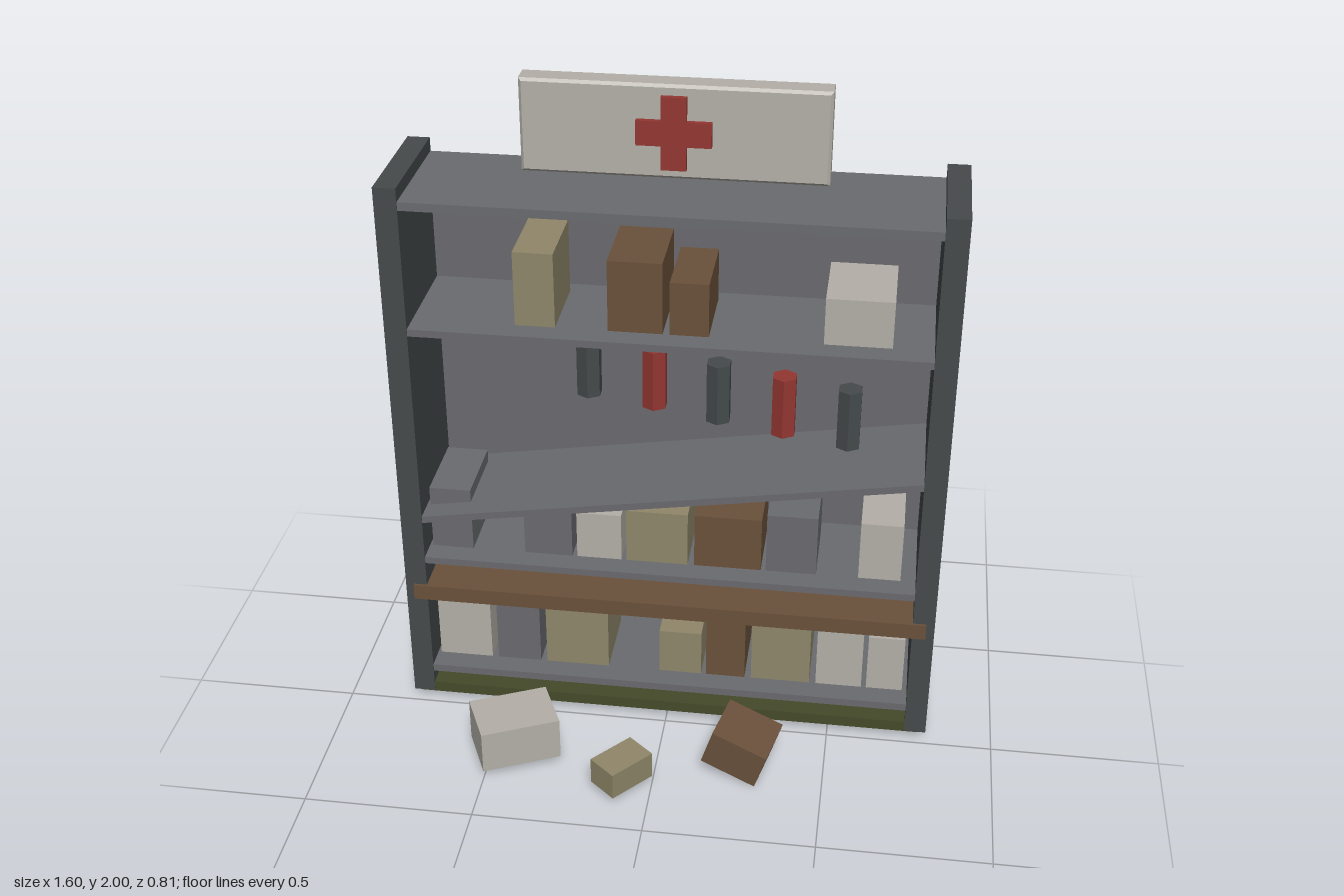
import * as THREE from 'three';

const mat = (name, color) => {
  const m = new THREE.MeshStandardMaterial({ color, flatShading: true });
  m.name = name;
  return m;
};

export function createModel() {
  const root = new THREE.Group();
  root.name = 'medicalSupplyShelf';

  const grey = mat('greyMetal', 0x6a6b6f);
  const dark = mat('darkMetal', 0x454a4b);
  const brown = mat('brownWood', 0x6a513b);
  const tan = mat('tanCard', 0x90876a);
  const white = mat('offWhite', 0xb4b0a8);
  const red = mat('red', 0x933631);
  const green = mat('darkGreen', 0x454a2a);

  const add = (name, geometry, material, parent = root) => {
    const mesh = new THREE.Mesh(geometry, material);
    mesh.name = name;
    parent.add(mesh);
    return mesh;
  };
  // Box given by its extents on each axis
  const span = (name, material, [x0, x1], [y0, y1], [z0, z1], parent = root) => {
    const mesh = add(name, new THREE.BoxGeometry(x1 - x0, y1 - y0, z1 - z0), material, parent);
    mesh.position.set((x0 + x1) / 2, (y0 + y1) / 2, (z0 + z1) / 2);
    return mesh;
  };

  // Cabinet frame
  span('base', green, [-0.775, 0.775], [0.027, 0.062], [-0.398, -0.022]);
  for (const s of [-1, 1]) {
    const x = s * 0.7675;
    span(s > 0 ? 'leftSide' : 'rightSide', dark, [x - 0.0325, x + 0.0325], [0.03, 1.73], [-0.4, -0.02]);
  }
  span('backPanel', grey, [-0.74, 0.74], [0.11, 1.685], [-0.399, -0.375]);
  span('counter', brown, [-0.775, 0.775], [0.385, 0.435], [-0.405, -0.012]);

  // Level shelves and top
  [[0.106, 0.13], [0.513, 0.535], [1.283, 1.305], [1.665, 1.69]].forEach((y, i) =>
    span(i === 3 ? 'topPanel' : 'shelf' + (i + 1), grey, [-0.737, 0.737], y, [-0.398, -0.022]));

  // Collapsed shelf
  const tilt = Math.atan2(0.235, 1.47);
  const fallenShelf = add('tiltedShelf', new THREE.BoxGeometry(1.495, 0.022, 0.376), grey);
  fallenShelf.position.set(0, 0.786, -0.21);
  fallenShelf.rotation.z = tilt;

  // Stock boxes: [material, x from, x to, top]
  const rows = [
    ['lowerStock', 0.13, [
      [white, -0.725, -0.56, 0.39], [grey, -0.54, -0.405, 0.37], [tan, -0.385, -0.19, 0.34],
      [tan, -0.03, 0.1, 0.28], [brown, 0.115, 0.235, 0.35], [tan, 0.255, 0.435, 0.365],
      [white, 0.455, 0.595, 0.345], [white, 0.61, 0.72, 0.32]]],
    ['middleStock', 0.535, [
      [grey, -0.725, -0.6, 0.74], [grey, -0.44, -0.295, 0.685], [white, -0.28, -0.145, 0.69],
      [tan, -0.13, 0.055, 0.71], [brown, 0.075, 0.275, 0.71], [grey, 0.29, 0.44, 0.73],
      [white, 0.565, 0.69, 0.725]]],
    ['upperStock', 1.305, [
      [tan, -0.44, -0.325, 1.53], [brown, -0.175, -0.02, 1.52],
      [brown, 0, 0.11, 1.465], [white, 0.43, 0.62, 1.445]]],
  ];
  for (const [name, base, boxes] of rows) {
    const row = new THREE.Group();
    row.name = name;
    root.add(row);
    boxes.forEach(([m, x0, x1, top], i) =>
      span('stockBox' + (i + 1), m, [x0, x1], [base, top], [-0.33, -0.09], row));
  }

  // Hanging six-sided bottles
  const bottleGeometry = new THREE.CylinderGeometry(0.038, 0.038, 0.186, 6);
  [[-0.243, 1.158], [-0.052, 1.131], [0.133, 1.098], [0.322, 1.068], [0.51, 1.04]].forEach(([x, y], i) =>
    add('bottle' + (i + 1), bottleGeometry, i % 2 ? red : dark).position.set(x, y, -0.16));

  // Sign board with bevelled rim
  const bevel = 0.008;
  const w = 0.422 - bevel, h = 0.1325 - bevel;
  const board = new THREE.Shape([
    new THREE.Vector2(-w, -h), new THREE.Vector2(w, -h),
    new THREE.Vector2(w, h), new THREE.Vector2(-w, h)]);
  add('signBoard', new THREE.ExtrudeGeometry(board, {
    depth: 0.076 - 2 * bevel, bevelEnabled: true, bevelSegments: 1,
    bevelSize: bevel, bevelThickness: bevel,
  }), white).position.set(0, 1.8675, -0.252 + bevel);

  // Cross on the sign
  const a = 0.035, b = 0.103;
  const crossShape = new THREE.Shape(
    [[-a, -b], [a, -b], [a, -a], [b, -a], [b, a], [a, a], [a, b], [-a, b], [-a, a], [-b, a], [-b, -a], [-a, -a]]
      .map(([x, y]) => new THREE.Vector2(x, y)));
  add('cross', new THREE.ExtrudeGeometry(crossShape, { depth: 0.02, bevelEnabled: false }), red)
    .position.set(0, 1.868, -0.18);

  // Boxes on the ground
  const drop = (name, m, size, pos, yaw, roll = 0) => {
    const mesh = add(name, new THREE.BoxGeometry(...size), m);
    mesh.position.set(...pos);
    mesh.rotation.set(0, yaw, roll);
  };
  drop('whiteDroppedBox', white, [0.237, 0.135, 0.17], [-0.428, 0.0975, 0.212], 0.435);
  drop('tanDroppedBox', tan, [0.152, 0.085, 0.1], [-0.087, 0.0725, 0.315], 0.855);
  drop('brownDroppedBox', brown, [0.175, 0.118, 0.17], [0.255, 0.086, 0.17], -0.21, -0.3);

  return root;
}
